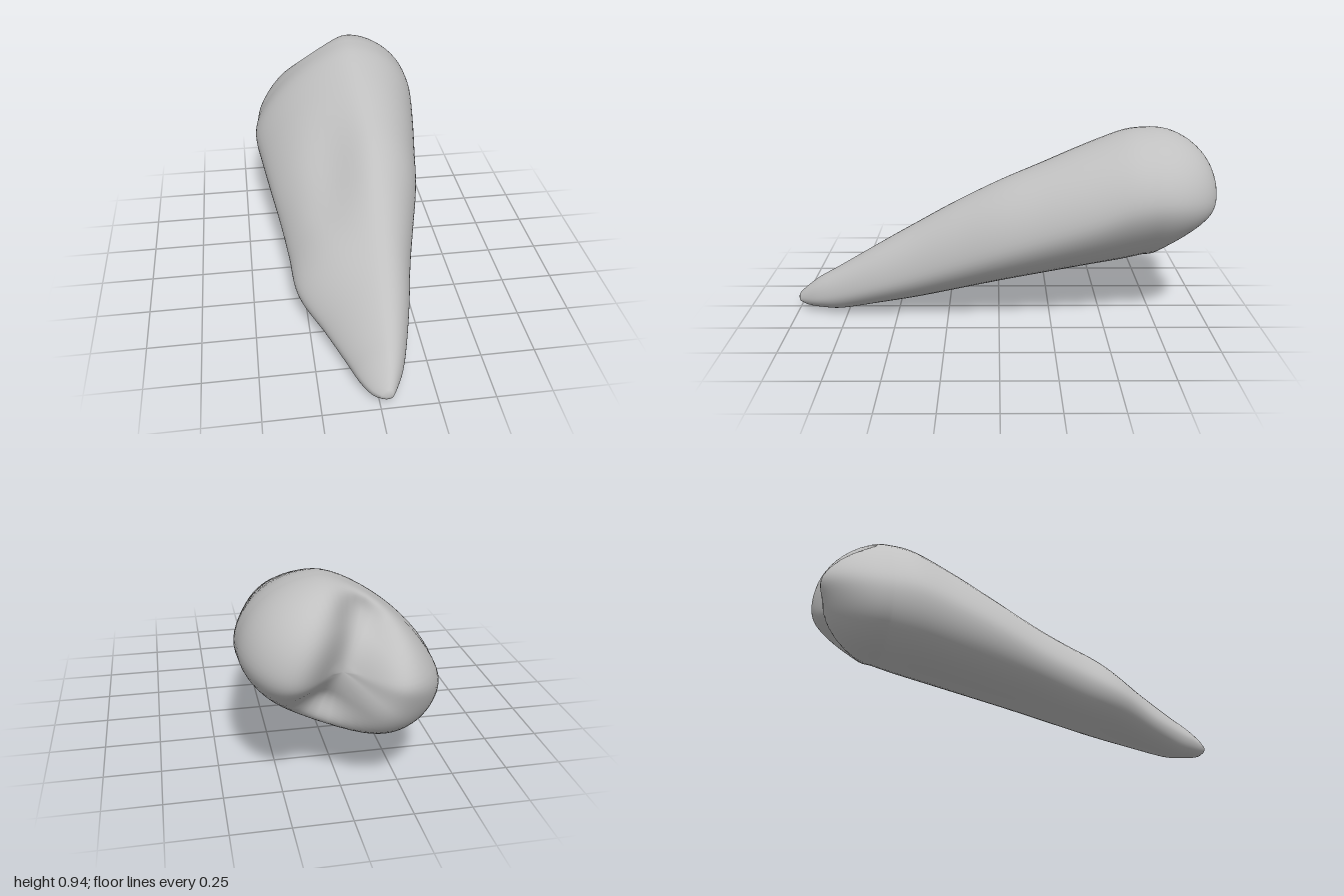
import * as THREE from 'three';

// Cross-sections from tip to rear:
// z, left x, left y, top x, top y, right x, right y, bottom x, bottom y
const SECTIONS = [
  [0.99, 0.0, 0.065, 0.03, 0.09, 0.055, 0.065, 0.03, 0.045],
  [0.95, -0.04, 0.065, 0.04, 0.13, 0.08, 0.075, 0.01, 0.02],
  [0.88, -0.08, 0.075, 0.05, 0.185, 0.115, 0.09, -0.01, 0.006],
  [0.78, -0.12, 0.09, 0.06, 0.245, 0.148, 0.12, -0.02, 0.0],
  [0.6, -0.2, 0.125, 0.07, 0.355, 0.195, 0.18, -0.06, 0.022],
  [0.4, -0.298, 0.18, 0.08, 0.475, 0.238, 0.25, -0.11, 0.045],
  [0.2, -0.32, 0.24, 0.09, 0.595, 0.29, 0.33, -0.13, 0.085],
  [0.0, -0.345, 0.3, 0.1, 0.7, 0.342, 0.41, -0.13, 0.13],
  [-0.2, -0.378, 0.37, 0.1, 0.785, 0.374, 0.48, -0.14, 0.165],
  [-0.4, -0.408, 0.43, 0.09, 0.868, 0.404, 0.55, -0.16, 0.195],
  [-0.58, -0.43, 0.475, 0.075, 0.932, 0.424, 0.62, -0.17, 0.22],
  [-0.7, -0.412, 0.49, 0.075, 0.945, 0.424, 0.64, -0.16, 0.25],
];
const SEG = 64, STEPS = 6, CAP = 24;
const CX = 0.02, CY = 0.59; // centre of the rear end
const { smoothstep, mapLinear } = THREE.MathUtils;

// Smooth blend of the sections at position t
function sectionAt(t) {
  const n = SECTIONS.length - 1;
  const i = Math.min(Math.floor(t), n - 1), f = t - i;
  const p = k => SECTIONS[Math.max(0, Math.min(n, k))];
  const [a, b, c, d] = [p(i - 1), p(i), p(i + 1), p(i + 2)];
  return b.map((v, k) => 0.5 * (2 * v + (c[k] - a[k]) * f +
    (2 * a[k] - 5 * v + 4 * c[k] - d[k]) * f * f +
    (3 * v - a[k] - 3 * c[k] + d[k]) * f * f * f));
}

// Closed outline of four softened quarter curves: left, top, right, bottom
function outline([z, lx, ly, tx, ty, rx, ry, bx, by]) {
  const quarters = [
    [lx, ly, tx, ty, 1.42, false],
    [rx, ry, tx, ty, mapLinear(z, 1, -0.7, 2.2, 1.9), true],
    [rx, ry, bx, by, mapLinear(z, 1, -0.7, 1.9, 1.65), false],
    [lx, ly, bx, by, 2.15, true],
  ];
  const q = SEG / 4;
  let pts = [];
  for (const [sx, sy, ex, ey, p, reverse] of quarters) {
    for (let k = 0; k < q; k++) {
      const a = (reverse ? 1 - k / q : k / q) * Math.PI / 2;
      const c = Math.pow(Math.max(0, Math.cos(a)), 2 / p);
      const s = Math.pow(Math.max(0, Math.sin(a)), 2 / p);
      pts.push(new THREE.Vector3(ex + (sx - ex) * c, sy + (ey - sy) * s, z));
    }
  }
  for (let pass = 0; pass < 4; pass++) {
    pts = pts.map((v, j) => v.clone().multiplyScalar(0.5)
      .addScaledVector(pts[(j + 1) % SEG], 0.25)
      .addScaledVector(pts[(j + SEG - 1) % SEG], 0.25));
  }
  return pts;
}

// Slanted cleft between the two rear lobes, and a shallow valley on top
function sculpt(v) {
  const dx = v.x - CX, dy = v.y - CY;
  const across = dx * 0.93 + dy * 0.37;
  const along = -dx * 0.37 + dy * 0.93;
  const rear = 1 - smoothstep(v.z, -0.99, -0.7);
  const groove = Math.exp(-((across / 0.14) ** 2)) * rear * smoothstep(along, -0.45, -0.12);
  const pull = -along * groove * 0.06;
  v.x += -0.37 * pull;
  v.y += 0.93 * pull;
  v.z += 0.2 * groove;
  const top = smoothstep(v.y, 0.33, 0.47);
  v.y -= 0.04 * top * Math.exp(-(((v.x + 0.08) / 0.12) ** 2) - ((v.z - 0.02) / 0.28) ** 2);
  return v;
}

function bodyGeometry() {
  const rings = [];
  const total = (SECTIONS.length - 1) * STEPS;
  for (let i = 0; i <= total; i++) rings.push(outline(sectionAt(i / STEPS)));

  // Rounded rear end, tapering more below than above
  const last = rings[rings.length - 1];
  for (let k = 1; k < CAP; k++) {
    const a = k / CAP * Math.PI / 2;
    const z = -0.7 - 0.345 * Math.sin(a);
    rings.push(last.map(v => {
      const taper = 0.8 + 0.5 * smoothstep(CY - v.y, 0, 0.28);
      const r = Math.pow(Math.cos(a), taper);
      return new THREE.Vector3(CX + (v.x - CX) * r, CY + (v.y - CY) * r, z);
    }));
  }

  const points = rings.flat();
  const front = points.push(new THREE.Vector3(0.028, 0.067, 1)) - 1;
  const back = points.push(new THREE.Vector3(CX, CY, -1.045)) - 1;
  points.forEach(sculpt);

  const index = [];
  const end = (rings.length - 1) * SEG;
  for (let j = 0; j < SEG; j++) {
    const n = (j + 1) % SEG;
    index.push(front, n, j, back, end + j, end + n);
    for (let i = 0; i < rings.length - 1; i++) {
      const a = i * SEG + j, b = i * SEG + n;
      index.push(a, b, a + SEG, b, b + SEG, a + SEG);
    }
  }
  const geometry = new THREE.BufferGeometry().setFromPoints(points);
  geometry.setIndex(index);
  geometry.computeVertexNormals();
  return geometry;
}

export function createModel() {
  const group = new THREE.Group();
  group.name = 'taperedLobedBody';
  const grey = new THREE.MeshStandardMaterial({ color: 0xc0c0c0 });
  grey.name = 'light grey';
  const body = new THREE.Mesh(bodyGeometry(), grey);
  body.name = 'body';
  group.add(body);
  return group;
}
